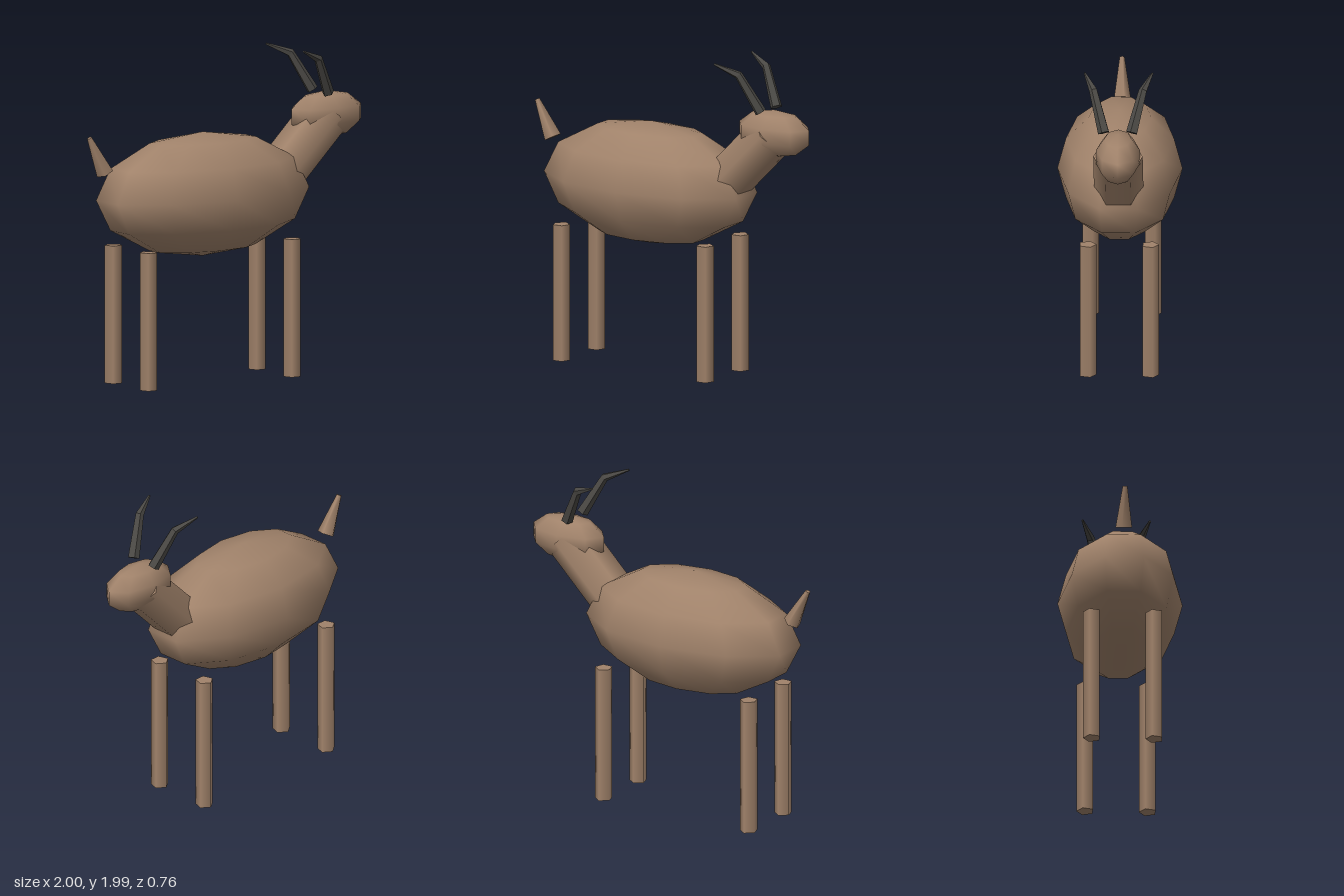
import * as THREE from 'three';

const hide = new THREE.MeshStandardMaterial({ color: 0xa0826a });
const hornMaterial = new THREE.MeshStandardMaterial({ color: 0x4a4844, flatShading: true });
const UP = new THREE.Vector3(0, 1, 0);

function part(group, name, geometry, material = hide) {
  const mesh = new THREE.Mesh(geometry, material);
  mesh.name = name;
  group.add(mesh);
  return mesh;
}

// Straight, possibly tapered rod between two points
function rod(from, to, r0, r1, sides, thetaStart = 0) {
  const a = new THREE.Vector3(...from), b = new THREE.Vector3(...to);
  const along = b.clone().sub(a);
  const geometry = new THREE.CylinderGeometry(r1, r0, along.length(), sides, 1, false, thetaStart);
  geometry.applyQuaternion(new THREE.Quaternion().setFromUnitVectors(UP, along.normalize()));
  const mid = a.add(b).multiplyScalar(0.5);
  return geometry.translate(mid.x, mid.y, mid.z);
}

// Bent horn: each ring of a unit cylinder is moved onto a path point, mitred at the bend
function bentRod(path, radii, sides) {
  const points = path.map((p) => new THREE.Vector3(...p));
  const last = points.length - 1;
  const dirs = points.slice(1).map((p, i) => p.clone().sub(points[i]).normalize());
  const turns = points.map((_, i) => {
    const axis = dirs[Math.max(i - 1, 0)].clone().add(dirs[Math.min(i, last - 1)]).normalize();
    return new THREE.Quaternion().setFromUnitVectors(UP, axis);
  });
  const geometry = new THREE.CylinderGeometry(1, 1, 1, sides, last);
  const pos = geometry.attributes.position;
  const v = new THREE.Vector3();
  for (let i = 0; i < pos.count; i++) {
    v.fromBufferAttribute(pos, i);
    const ring = Math.round((v.y + 0.5) * last);
    v.setY(0).multiplyScalar(radii[ring]).applyQuaternion(turns[ring]).add(points[ring]);
    pos.setXYZ(i, v.x, v.y, v.z);
  }
  geometry.computeVertexNormals();
  return geometry;
}

export function createModel() {
  const model = new THREE.Group();
  model.name = 'hornedAnimal';

  // Rounded trunk, long along x
  const body = part(model, 'body', new THREE.SphereGeometry(1, 10, 6, Math.PI / 2));
  body.scale.set(0.738, 0.38, 0.38);
  body.position.set(-0.16, 1.14, 0);

  // Neck and head
  part(model, 'neck', rod([0.36, 1.175, 0], [0.745, 1.56, 0], 0.15, 0.15, 6));
  const head = part(model, 'head', new THREE.SphereGeometry(1, 8, 5));
  head.scale.set(0.268, 0.146, 0.14);
  head.position.set(0.745, 1.556, 0);

  // Four straight legs
  for (const [place, x] of [['front', 0.367], ['rear', -0.685]]) {
    for (const [side, z] of [['Right', 0.19], ['Left', -0.19]]) {
      part(model, `${place}Leg${side}`, rod([x, 0, z], [x, 0.845, z], 0.055, 0.055, 5, Math.PI));
    }
  }

  // Short raised tail
  part(model, 'tail', rod([-0.876, 1.325, 0], [-0.99, 1.548, 0], 0.055, 0.016, 5, Math.PI));

  // Backswept horns
  for (const [side, s] of [['Right', 1], ['Left', -1]]) {
    const path = [[0.703, 1.697, 0.085 * s], [0.585, 1.925, 0.15 * s], [0.443, 1.985, 0.205 * s]];
    part(model, `horn${side}`, bentRod(path, [0.037, 0.027, 0.007], 5), hornMaterial);
  }

  return model;
}
